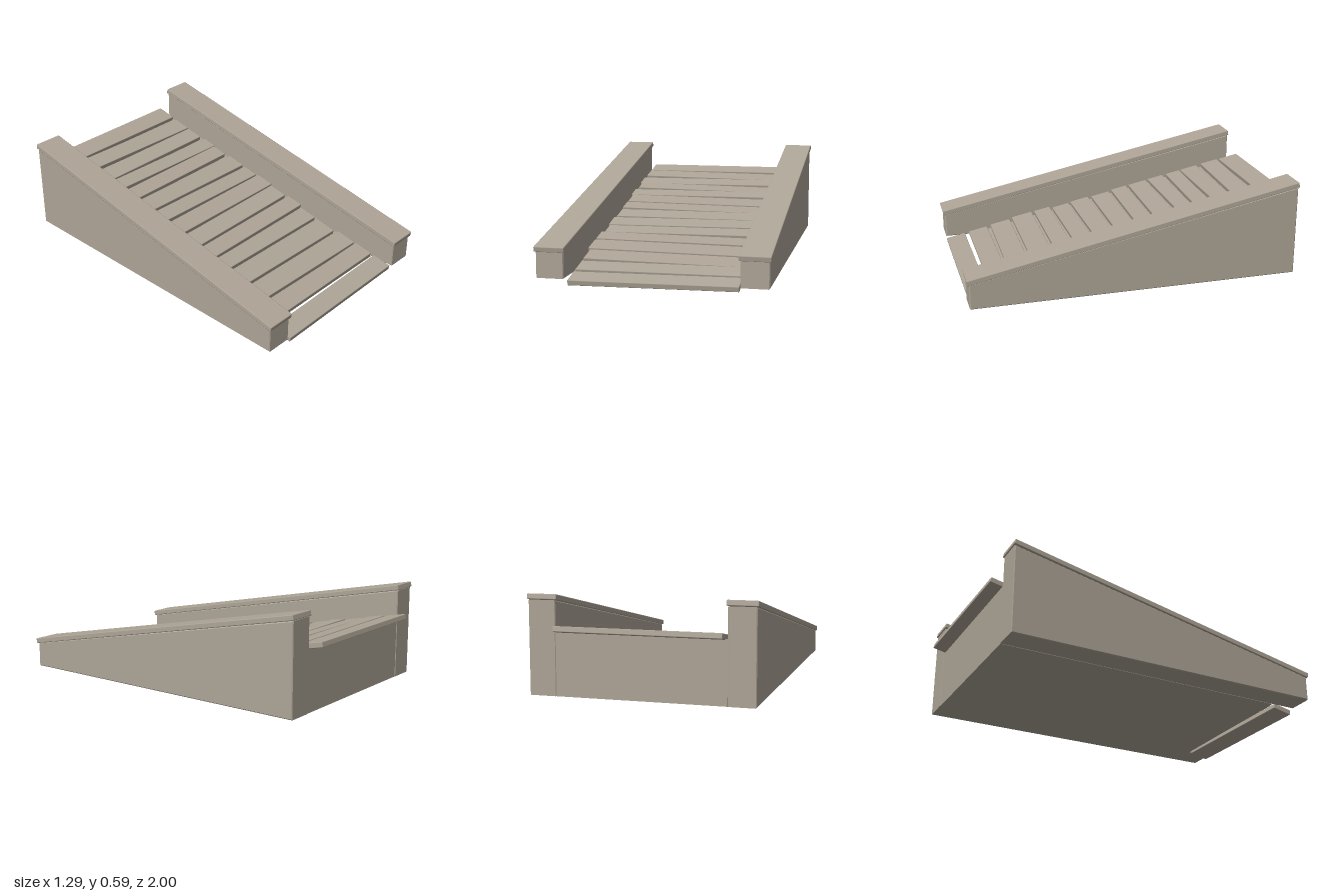
import * as THREE from 'three';
import { RoundedBoxGeometry } from 'three/addons/geometries/RoundedBoxGeometry.js';

const SLOPE = 0.199; // pitch of the ramp in radians

// Extrudes a side profile of [z, y] points across x, centred, with a small bevel.
function sideProfile(points, width, bevel) {
  const shape = new THREE.Shape(points.map(([z, y]) => new THREE.Vector2(-z, y)));
  const geo = new THREE.ExtrudeGeometry(shape, {
    depth: width - 2 * bevel,
    bevelEnabled: bevel > 0,
    bevelThickness: bevel,
    bevelSize: bevel,
    bevelOffset: -bevel,
    bevelSegments: 1,
  });
  geo.translate(0, 0, -width / 2 + bevel);
  geo.rotateY(Math.PI / 2);
  return geo;
}

export function createModel() {
  const model = new THREE.Group();
  model.name = 'plankRamp';
  const stone = new THREE.MeshStandardMaterial({ color: 0xada496 });
  stone.name = 'weatheredGreyBeige';

  const add = (name, geo, parent = model) => {
    const mesh = new THREE.Mesh(geo, stone);
    mesh.name = name;
    parent.add(mesh);
    return mesh;
  };

  // Side walls with sloping caps
  const wallGeo = sideProfile([[0.985, 0.035], [-0.925, 0.035], [-0.925, 0.563], [0.985, 0.182]], 0.156, 0.005);
  const capGeo = new RoundedBoxGeometry(0.172, 0.031, 1.964, 1, 0.005);
  for (const [side, sx] of [['left', 1], ['right', -1]]) {
    add(side + 'Wall', wallGeo).position.x = sx * 0.558;
    const cap = add(side + 'WallCap', capGeo);
    cap.position.set(sx * 0.558, 0.3875, 0.034);
    cap.rotation.x = SLOPE;
  }

  // Solid wedge beneath the planks
  add('rampBase', sideProfile([[0.835, 0.035], [-0.922, 0.035], [-0.922, 0.392]], 0.962, 0));

  // Planks: [back z, front z, left-right shift, yaw, roll]
  const planks = [
    [-0.997, -0.865, 0, 0.006, 0],
    [-0.848, -0.727, 0, -0.014, -0.005],
    [-0.713, -0.594, -0.01, 0.004, 0.007],
    [-0.582, -0.481, 0.008, -0.01, -0.008],
    [-0.473, -0.365, -0.01, 0.004, 0.006],
    [-0.348, -0.223, 0.007, -0.008, -0.005],
    [-0.212, -0.104, 0.004, -0.009, -0.006],
    [-0.095, 0.03, 0.008, -0.002, 0.005],
    [0.038, 0.164, -0.006, 0.011, 0.007],
    [0.173, 0.287, 0.006, 0.01, 0.006],
    [0.301, 0.411, -0.01, -0.003, -0.006],
    [0.424, 0.561, -0.012, -0.007, -0.007],
    [0.573, 0.706, 0.006, -0.01, -0.006],
    [0.717, 0.841, 0.005, 0.004, 0.005],
    [0.858, 0.982, 0.006, 0.011, 0.007],
  ];
  const deck = new THREE.Group();
  deck.name = 'plankDeck';
  model.add(deck);
  planks.forEach(([back, front, shift, yaw, roll], i) => {
    const mid = (back + front) / 2;
    const length = (front - back - 0.006) / Math.cos(SLOPE);
    const plank = add('plank' + (i + 1), new RoundedBoxGeometry(0.935, 0.031, length, 1, 0.004), deck);
    plank.position.set(shift, 0.217 - mid * Math.tan(SLOPE), mid);
    plank.rotation.set(SLOPE, yaw, roll);
  });

  return model;
}
